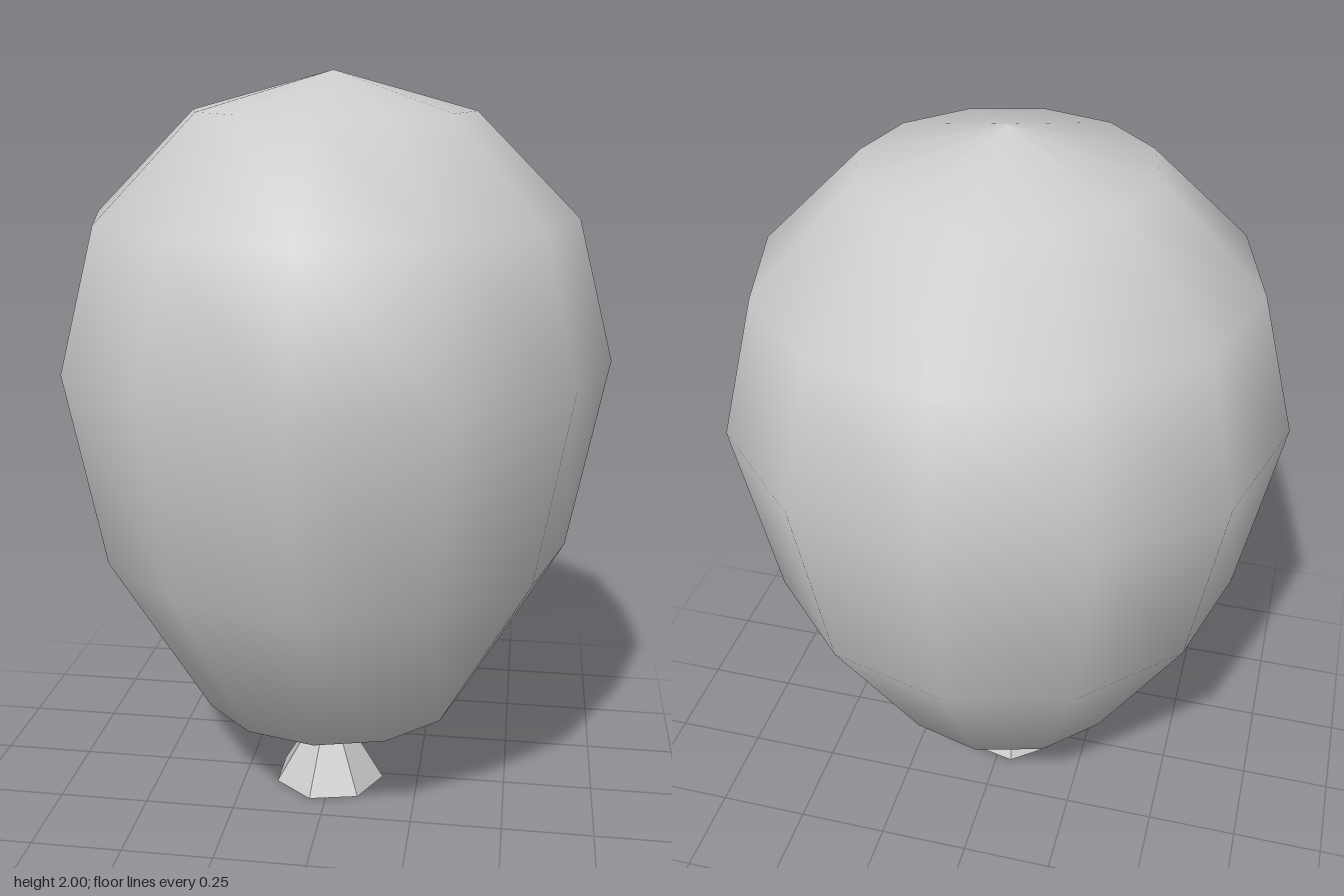
import * as THREE from 'three';

export function createModel() {
  const group = new THREE.Group();

  // Balloon body: smooth shaded, 12 sides, tapering toward the neck
  const profile = [
    [0, 0.12], [0.37, 0.28], [0.64, 0.745], [0.738, 1.264],
    [0.64, 1.633], [0.37, 1.9], [0, 2],
  ].map(([r, y]) => new THREE.Vector2(r, y));
  const body = new THREE.Mesh(
    new THREE.LatheGeometry(profile, 12),
    new THREE.MeshStandardMaterial({ color: 0xcccccc }),
  );
  body.name = 'balloonBody';
  group.add(body);

  // Knot: faceted seven-sided flare, its tip hidden inside the body
  const height = 0.2;
  const knot = new THREE.Mesh(
    new THREE.CylinderGeometry(0.035, 0.158, height, 7),
    new THREE.MeshStandardMaterial({ color: 0xcccccc, flatShading: true }),
  );
  knot.name = 'knot';
  knot.rotation.y = Math.PI / 2;
  knot.position.set(-0.01, height / 2, 0.017);
  group.add(knot);

  return group;
}
